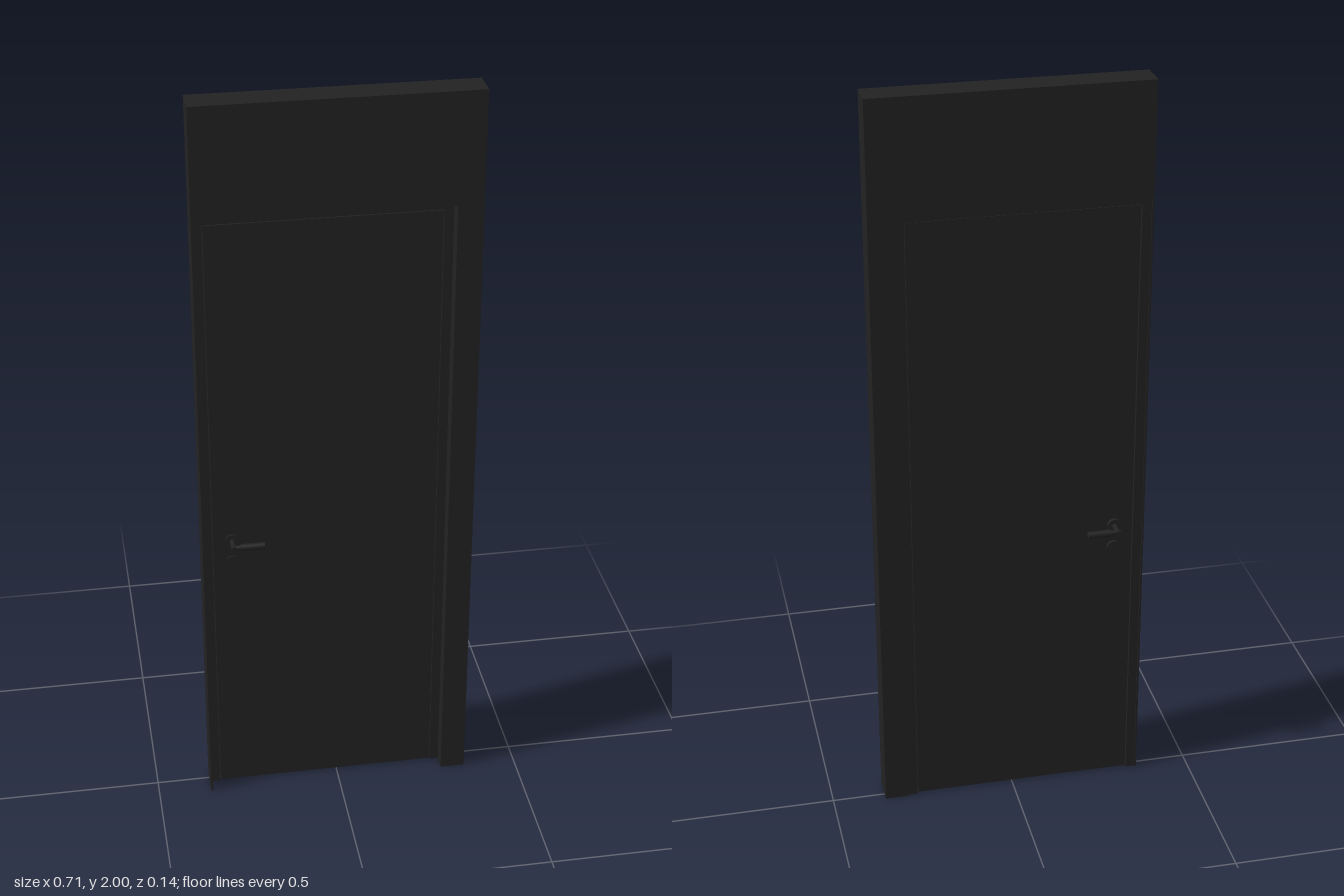
import * as THREE from 'three';

const material = new THREE.MeshStandardMaterial({ color: 0x222222 });

function add(parent, name, geometry, x = 0, y = 0, z = 0) {
  const mesh = new THREE.Mesh(geometry, material);
  mesh.name = name;
  mesh.position.set(x, y, z);
  parent.add(mesh);
  return mesh;
}

// Upside-down U standing on the floor, extruded from z0 to z1
function portal(outer, inner, z0, z1) {
  const shape = new THREE.Shape([
    [outer.l, 0], [inner.l, 0], [inner.l, inner.t], [inner.r, inner.t],
    [inner.r, 0], [outer.r, 0], [outer.r, outer.t], [outer.l, outer.t],
  ].map(([x, y]) => new THREE.Vector2(x, y)));
  return new THREE.ExtrudeGeometry(shape, { depth: z1 - z0, bevelEnabled: false }).translate(0, 0, z0);
}

// Lever, rosette and key escutcheon on a door face; dir is the outward z direction
function handleSet(name, faceZ, dir) {
  const set = new THREE.Group();
  set.name = name;
  set.position.set(-0.276, 0.788, faceZ);
  const disc = (r, h) => new THREE.CylinderGeometry(r, r, h, 32).rotateX(Math.PI / 2);
  const rod = (r, h) => new THREE.CylinderGeometry(r, r, h, 24).rotateZ(Math.PI / 2);

  add(set, 'rosette', disc(0.018, 0.01), 0, 0, dir * 0.005);
  add(set, 'neck', disc(0.0065, 0.051), 0, 0, dir * 0.0255);
  add(set, 'leverArm', rod(0.0065, 0.028), 0.0075, 0, dir * 0.0445);
  add(set, 'leverGrip', rod(0.0095, 0.062), 0.05, 0, dir * 0.0445);

  add(set, 'keyEscutcheon', disc(0.018, 0.008), 0, -0.066, dir * 0.004);
  add(set, 'keyCylinder', disc(0.006, 0.009), 0, -0.062, dir * 0.0045);
  add(set, 'keySlot', new THREE.BoxGeometry(0.005, 0.014, 0.009), 0, -0.069, dir * 0.0045);
  return set;
}

export function createModel() {
  const model = new THREE.Group();
  model.name = 'doorInWall';

  const wall = { l: -0.357, r: 0.357, t: 2 };
  const opening = { l: -0.352, r: 0.291, t: 1.708 };
  const inset = (o, d) => ({ l: o.l + d, r: o.r - d, t: o.t - d });
  const rebate = inset(opening, 0.024);
  const leaf = inset(rebate, 0.002);

  // Wall section and door frame
  add(model, 'wall', portal(wall, opening, -0.022, 0.058));
  add(model, 'doorFrame', portal(opening, rebate, -0.018, 0.018));

  // Door leaf, with a small gap all round
  const back = -0.015, front = 0.018, bottom = 0.004;
  add(model, 'doorLeaf',
    new THREE.BoxGeometry(leaf.r - leaf.l, leaf.t - bottom, front - back),
    (leaf.l + leaf.r) / 2, (leaf.t + bottom) / 2, (front + back) / 2);

  model.add(handleSet('frontHandle', front - 0.004, 1));
  model.add(handleSet('backHandle', back, -1));
  return model;
}
